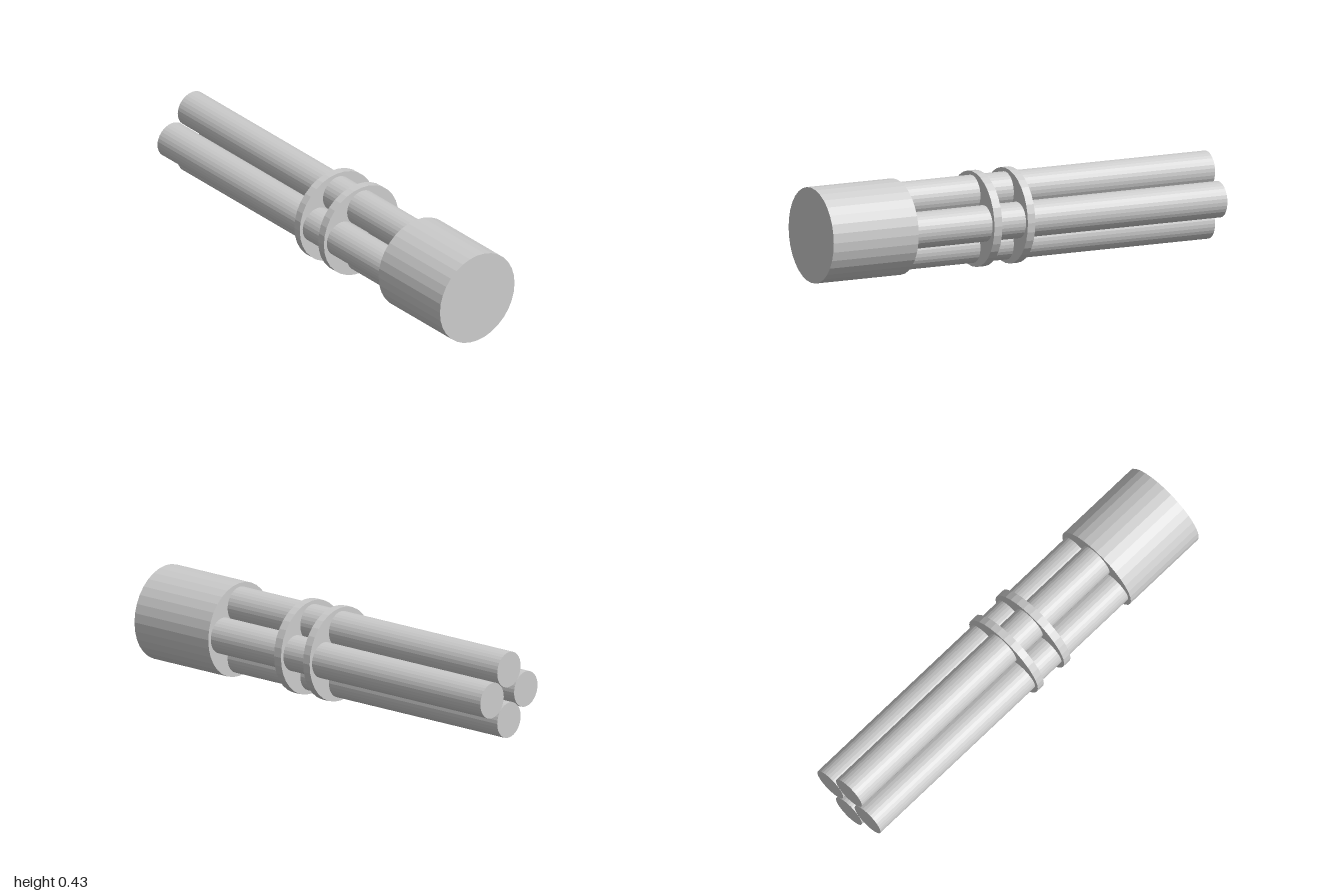
import * as THREE from 'three';

const AXIS_Y = 0.217;

export function createModel() {
  const group = new THREE.Group();
  const material = new THREE.MeshStandardMaterial({ color: 0xcccccc, flatShading: true });

  // Cylinder lying along z, from z0 to z1
  function rod(name, radius, z0, z1, x = 0, y = 0) {
    const geometry = new THREE.CylinderGeometry(radius, radius, z1 - z0, 32);
    geometry.rotateX(Math.PI / 2);
    const mesh = new THREE.Mesh(geometry, material);
    mesh.name = name;
    mesh.position.set(x, AXIS_Y + y, (z0 + z1) / 2);
    group.add(mesh);
  }

  // Solid housing at the front
  rod('housing', 0.217, 0.57, 1);

  // Two thin discs clamping the tubes
  rod('frontClampDisc', 0.217, 0.147, 0.187);
  rod('rearClampDisc', 0.217, -0.02, 0.018);

  // Four tubes around the axis, seated inside the housing
  for (let i = 0; i < 4; i++) {
    const a = (i * Math.PI) / 2;
    rod(`barrel${i + 1}`, 0.082, -1, 0.99, Math.cos(a) * 0.118, Math.sin(a) * 0.118);
  }

  return group;
}
